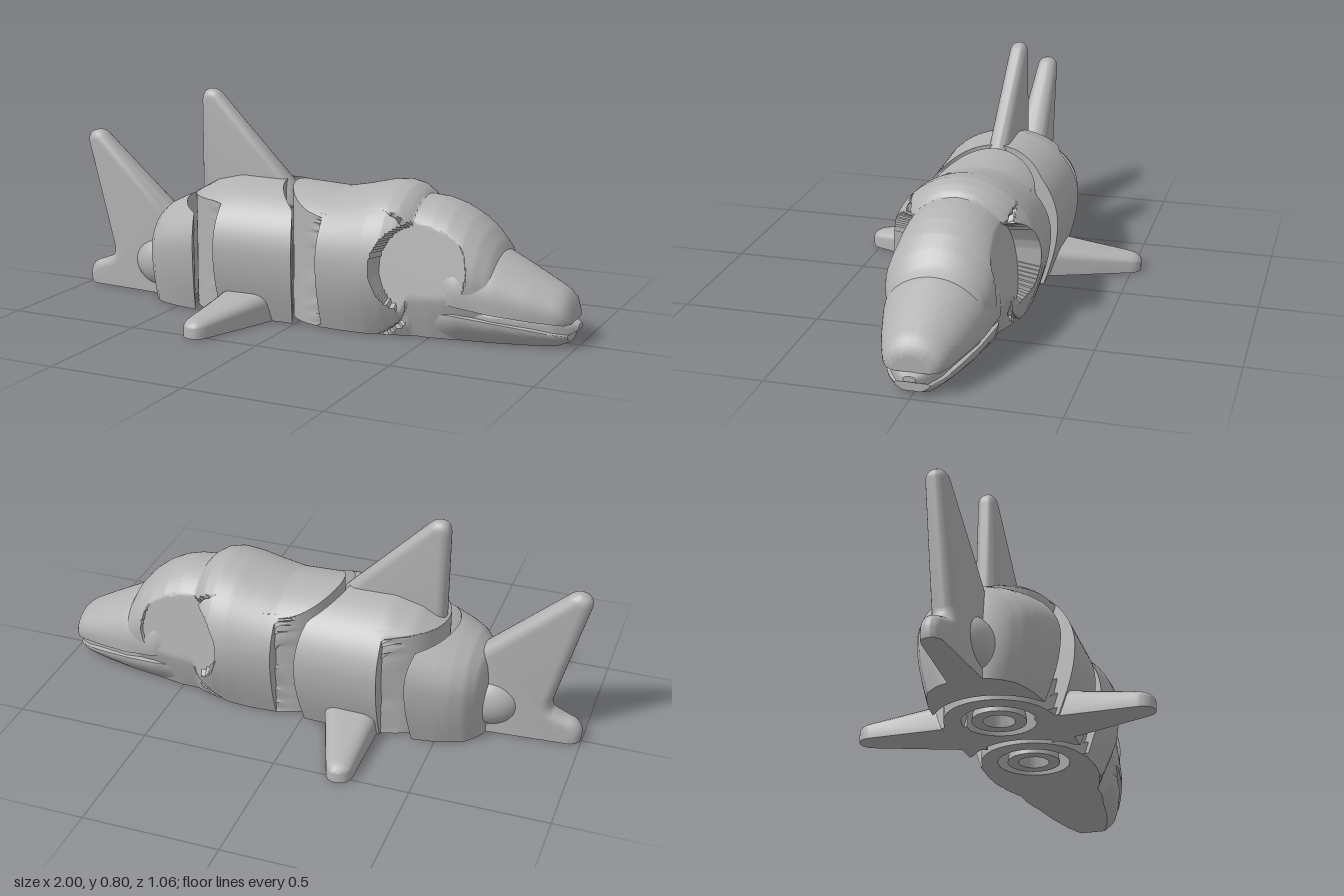
import * as THREE from 'three';
import { mergeGeometries, toCreasedNormals } from 'three/addons/utils/BufferGeometryUtils.js';

const grey = new THREE.MeshStandardMaterial({ color: 0xb2b2b2, side: THREE.DoubleSide });
grey.name = 'grey plastic';
const lerp = THREE.MathUtils.lerp;
const JOINT_R = 0.19, GAP_R = 0.225;

function grid(nu, nv, fn) {
  const pos = [], idx = [];
  for (let i = 0; i <= nu; i++) for (let j = 0; j <= nv; j++) pos.push(...fn(i / nu, j / nv));
  for (let i = 0; i < nu; i++) for (let j = 0; j < nv; j++) {
    const a = i * (nv + 1) + j, b = a + nv + 1;
    idx.push(a, b, a + 1, b, b + 1, a + 1);
  }
  const g = new THREE.BufferGeometry();
  g.setAttribute('position', new THREE.Float32BufferAttribute(pos, 3));
  g.setIndex(idx);
  return g;
}

// Cross-section at x from stations [x, top, widest y, half width, bottom half width, bottom y]
function section(st, x, v) {
  let i = 0;
  while (i < st.length - 2 && x > st[i + 1][0]) i++;
  const k = THREE.MathUtils.clamp((x - st[i][0]) / (st[i + 1][0] - st[i][0]), 0, 1);
  const [, top, mid, w, wb, bot] = st[i].map((a, n) => lerp(a, st[i + 1][n], k));
  const side = v <= 0.5 ? 1 : -1, h = v <= 0.5 ? v * 2 : 2 - v * 2;
  if (h < 0.3) {
    const s = h / 0.3;
    return [lerp(bot, mid, s), side * lerp(wb, w, Math.sin(s * Math.PI / 2))];
  }
  const a = (h - 0.3) / 0.7 * Math.PI / 2;
  return [mid + (top - mid) * Math.sin(a), side * w * Math.cos(a)];
}

// Closed hull along x; x0(z) and x1(z) are the plan curves of its two ends
function hull(st, x0, x1, { nu = 30, nv = 64, hole = null, rule = null } = {}) {
  const at = (u, v) => {
    let x = lerp(x0(0), x1(0), u), y, z;
    for (let n = 0; n < 10; n++) {
      [y, z] = section(st, x, v);
      x = lerp(x0(z), x1(z), u);
    }
    return [x, y, z];
  };
  const cap = (u, f, flip) => grid(nv / 2, 32, (r, c) => {
    const p = at(u, r / 2), z = p[2] * (1 - 2 * c) * flip;
    return [f(z), p[1], z];
  });
  const skin = grid(nu, nv, (u, v) => rule ? rule(at(u, v)) : at(u, v));
  const parts = [skin, cap(0, x0, 1), cap(1, x1, -1)];
  if (hole === null) {
    parts.push(grid(nu, 16, (u, c) => {
      const p = at(u, 0), z = -p[2] * (1 - 2 * c);
      return [lerp(x0(z), x1(z), u), p[1], z];
    }));
  } else {
    // Flat underside with a round opening for the joint
    const pts = [], N = 32;
    const edge = (n, fn) => { for (let i = 0; i < n; i++) pts.push(new THREE.Vector2(...fn(i / n))); };
    const z0 = at(0, 0)[2], z1 = at(1, 0)[2];
    edge(N, t => { const p = at(t, 0); return [p[0], p[2]]; });
    edge(N, t => { const z = z1 * (1 - 2 * t); return [x1(z), z]; });
    edge(N, t => { const p = at(1 - t, 0); return [p[0], -p[2]]; });
    edge(N, t => { const z = -z0 * (1 - 2 * t); return [x0(z), z]; });
    const shape = new THREE.Shape(pts);
    shape.holes.push(new THREE.Path().absarc(hole, 0, 0.13, 0, Math.PI * 2, true));
    parts.push(new THREE.ShapeGeometry(shape, 24).rotateX(Math.PI / 2));
  }
  return toCreasedNormals(mergeGeometries(parts.map(g => {
    g.deleteAttribute('uv');
    g.deleteAttribute('normal');
    return g.toNonIndexed();
  })), 0.6);
}

// Plan curves of the joints: a round nose sits in a slightly larger hollow
const nose = cx => z => cx - Math.sqrt(Math.max(0, JOINT_R ** 2 - z * z));
const hollow = cx => z => {
  const a = Math.min(Math.abs(z), JOINT_R);
  return cx - Math.sqrt(GAP_R ** 2 - a * a) + (Math.abs(z) - a) * 0.4;
};
const flat = x => () => x;

// Rounded fin plate from an outline, its tips rounded by a curve
function fin(outline, depth, bevel) {
  const s = new THREE.Shape();
  outline.forEach(([c, ...p], i) => c === 'q' ? s.quadraticCurveTo(...p) : i ? s.lineTo(...p) : s.moveTo(...p));
  return new THREE.ExtrudeGeometry(s, {
    depth: depth - 2 * bevel, bevelThickness: bevel, bevelSize: bevel, bevelOffset: -bevel,
    bevelSegments: 6, curveSegments: 12,
  }).translate(0, 0, bevel - depth / 2);
}

function reshape(g, rule) {
  const p = g.attributes.position;
  for (let i = 0; i < p.count; i++) p.setXYZ(i, ...rule(p.getX(i), p.getY(i), p.getZ(i)));
  return toCreasedNormals(g, 0.7);
}

export function createModel() {
  const model = new THREE.Group();
  const add = (name, g) => {
    const m = new THREE.Mesh(g, grey);
    m.name = name;
    model.add(m);
    return m;
  };

  // Rear, middle and front body segments
  add('rearBody', hull([
    [-0.66, 0.27, 0.15, 0.06, 0.05, 0], [-0.65, 0.31, 0.18, 0.11, 0.085, 0],
    [-0.635, 0.335, 0.2, 0.145, 0.11, 0], [-0.6, 0.365, 0.21, 0.185, 0.15, 0],
    [-0.55, 0.39, 0.22, 0.21, 0.17, 0], [-0.5, 0.41, 0.23, 0.225, 0.185, 0],
    [-0.4, 0.45, 0.25, 0.248, 0.2, 0],
  ], flat(-0.66), hollow(-0.3)));
  add('middleBody', hull([
    [-0.49, 0.42, 0.24, 0.24, 0.2, 0], [-0.4, 0.47, 0.25, 0.262, 0.205, 0],
    [-0.3, 0.495, 0.255, 0.27, 0.21, 0], [0.01, 0.49, 0.25, 0.26, 0.205, 0],
  ], nose(-0.3), hollow(0.105), { hole: -0.3 }));

  // Front body and forehead, with the round eye sockets pressed in
  add('frontBodyAndHead', hull([
    [-0.09, 0.49, 0.25, 0.25, 0.2, 0], [0.11, 0.48, 0.25, 0.256, 0.2, 0],
    [0.2, 0.498, 0.25, 0.264, 0.205, 0], [0.28, 0.518, 0.25, 0.27, 0.2, 0],
    [0.345, 0.526, 0.25, 0.268, 0.185, 0], [0.39, 0.517, 0.25, 0.25, 0.17, 0],
    [0.42, 0.498, 0.25, 0.225, 0.16, 0], [0.435, 0.481, 0.25, 0.21, 0.15, 0],
    [0.5, 0.476, 0.25, 0.207, 0.15, 0], [0.56, 0.458, 0.245, 0.206, 0.14, 0],
    [0.62, 0.425, 0.235, 0.2, 0.125, 0], [0.67, 0.384, 0.22, 0.185, 0.115, 0],
    [0.71, 0.335, 0.2, 0.165, 0.105, 0], [0.735, 0.285, 0.18, 0.145, 0.1, 0],
  ], nose(0.105), flat(0.735), {
    nu: 120, nv: 120, hole: 0.105,
    rule: ([x, y, z]) => {
      const floor = 0.2 - 0.17 * (y - 0.13);
      const inside = Math.hypot(x - 0.48, y - 0.25) < 0.163;
      return [x, y, inside ? Math.sign(z) * Math.min(Math.abs(z), floor) : z];
    },
  }));

  // Beak: upper bill, lower jaw and the recessed mouth between them
  add('upperBill', hull([
    [0.52, 0.36, 0.19, 0.18, 0.18, 0.15], [0.6, 0.345, 0.17, 0.198, 0.195, 0.135],
    [0.73, 0.305, 0.15, 0.175, 0.175, 0.115], [0.85, 0.245, 0.13, 0.142, 0.14, 0.1],
    [0.94, 0.198, 0.115, 0.11, 0.108, 0.09], [0.965, 0.178, 0.11, 0.096, 0.092, 0.086],
    [0.982, 0.135, 0.1, 0.065, 0.06, 0.086],
  ], flat(0.52), flat(0.982)));
  add('lowerJaw', hull([
    [0.4, 0.1, 0.09, 0.15, 0.15, 0], [0.6, 0.11, 0.1, 0.188, 0.13, 0],
    [0.73, 0.094, 0.084, 0.165, 0.11, 0], [0.85, 0.075, 0.065, 0.128, 0.08, 0],
    [0.93, 0.06, 0.05, 0.096, 0.05, 0], [0.972, 0.05, 0.04, 0.06, 0.03, 0.015],
  ], flat(0.4), flat(0.972)));
  add('mouth', hull([
    [0.55, 0.16, 0.12, 0.17, 0.17, 0.08], [0.73, 0.14, 0.1, 0.155, 0.155, 0.07],
    [0.93, 0.11, 0.08, 0.085, 0.085, 0.04], [0.975, 0.09, 0.075, 0.05, 0.05, 0.045],
    [1, 0.08, 0.072, 0.02, 0.02, 0.06],
  ], flat(0.55), flat(1)));

  // Ring-shaped joint recesses under the body
  const ring = [[0.13, 0], [0.1, 0.16], [0.07, 0.16], [0.095, 0], [0.055, 0], [0.035, 0.08], [0, 0.08]];
  for (const x of [-0.3, 0.105]) {
    const g = new THREE.LatheGeometry(ring.map(p => new THREE.Vector2(...p)), 40);
    add('jointRing', toCreasedNormals(g, 0.5)).position.x = x;
  }

  // Dorsal fin
  add('dorsalFin', reshape(fin([
    ['m', -0.48, 0.38], ['l', -0.08, 0.38], ['l', -0.1, 0.48], ['l', -0.4, 0.782],
    ['q', -0.42, 0.803, -0.442, 0.803], ['q', -0.482, 0.803, -0.482, 0.755],
  ], 0.072, 0.034), (x, y, z) => [x, y, z * lerp(1.08, 0.9, (y - 0.38) / 0.42)]));

  // Tail root and upright tail fin, thicker toward the body
  const root = new THREE.SphereGeometry(1, 32, 20).scale(0.13, 0.108, 0.1);
  add('tailRoot', root).position.set(-0.65, 0.122, 0);
  add('tailFin', reshape(fin([
    ['m', -0.6, -0.04], ['l', -0.96, -0.04], ['q', -1, -0.03, -1, 0.04],
    ['q', -0.995, 0.085, -0.95, 0.095], ['l', -0.9, 0.115], ['q', -0.88, 0.125, -0.885, 0.16],
    ['l', -0.992, 0.56], ['q', -1, 0.61, -0.945, 0.612], ['q', -0.925, 0.61, -0.905, 0.59],
    ['l', -0.62, 0.335],
  ], 0.08, 0.036), (x, y, z) => [x, Math.max(y, 0), z * lerp(0.85, 1.6, (x + 1) / 0.4)]));

  // Side flippers: flat below, rounded above, thinner toward the tip
  for (const [side, name] of [[1, 'leftFlipper'], [-1, 'rightFlipper']]) {
    const g = fin([
      ['m', -0.29, 0.12], ['l', -0.06, 0.12], ['l', -0.105, 0.25], ['l', -0.193, 0.49],
      ['q', -0.208, 0.532, -0.24, 0.532], ['q', -0.29, 0.53, -0.29, 0.475],
    ], 0.23, 0.046);
    add(name, reshape(g, (x, y, z) =>
      [x, Math.max(z, 0) * lerp(0.95, 0.52, (y - 0.2) / 0.33), y])).scale.z = side;
  }
  return model;
}
